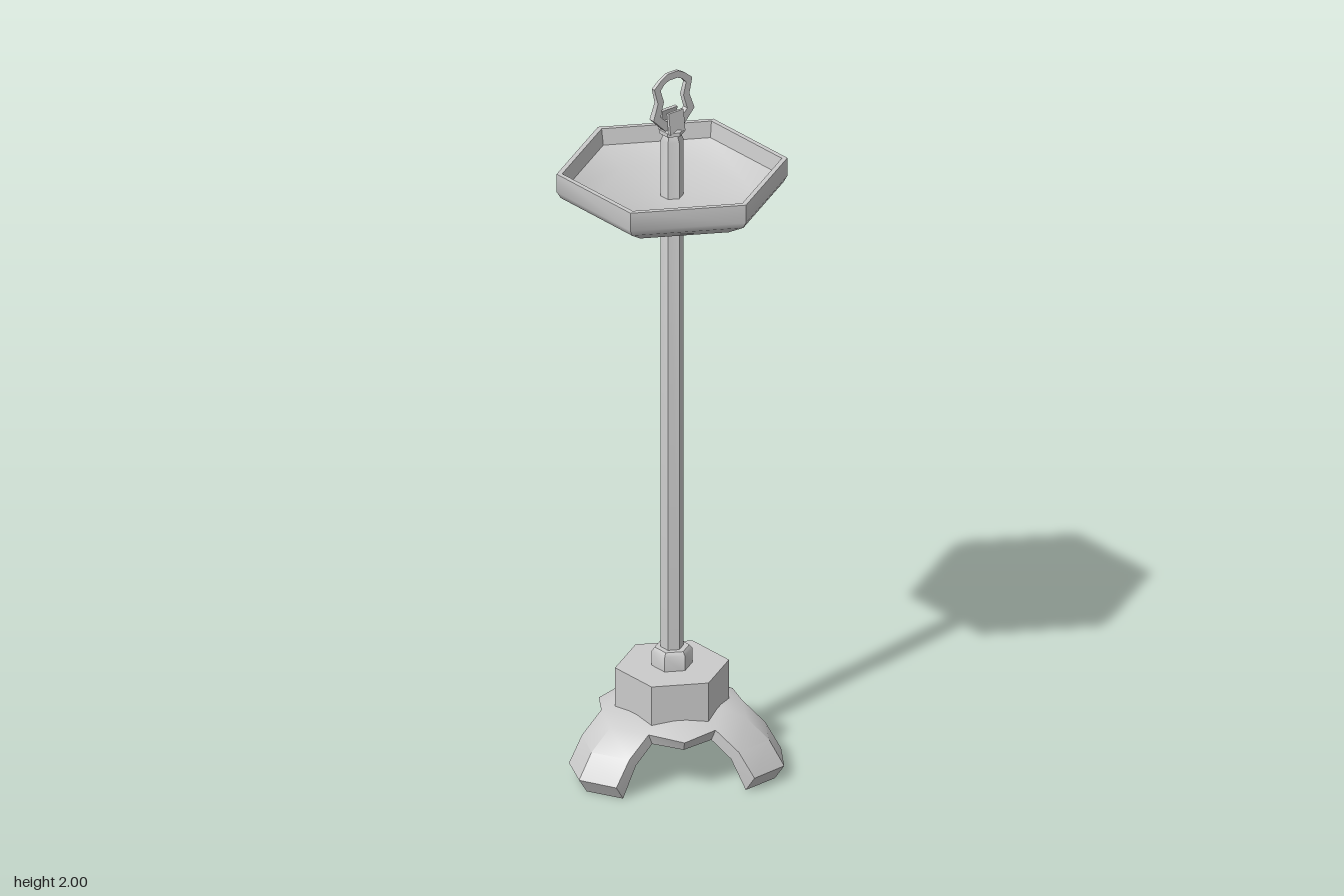
import * as THREE from 'three';
import { toCreasedNormals } from 'three/addons/utils/BufferGeometryUtils.js';

const mat = new THREE.MeshStandardMaterial({ color: 0xcccccc });

function part(name, geometry, crease = 0.8) {
  const mesh = new THREE.Mesh(toCreasedNormals(geometry, crease), mat);
  mesh.name = name;
  return mesh;
}

// Six-sided turned part with corners on the x axis; profile runs from bottom to top
function hexTurned(name, profile) {
  const pts = profile.map(([r, y]) => new THREE.Vector2(r, y));
  return part(name, new THREE.LatheGeometry(pts, 6, Math.PI / 2));
}

// Thick three-legged dome: one half-leg sector, mirrored and turned three times
function tripodGeometry() {
  const S = Math.sin(Math.PI / 3), C = 0.5, w = 0.098;
  // points as [sideways, outward, up]
  const top = {
    O: [0, 0, 0.18], R1: [0, 0.14, 0.18], R2: [0, 0.209, 0.161], R3: [0, 0.272, 0.108], R4: [0, 0.314, 0.04],
    N: [w, 0.159, 0.161], C3: [w, 0.224, 0.108], C4: [w, 0.268, 0.04],
    H: [S * 0.14, C * 0.14, 0.18], G: [S * 0.205, C * 0.205, 0.15],
  };
  const under = {
    O: [0, 0, 0.148], R1: [0, 0.135, 0.148], R2: [0, 0.197, 0.131], R3: [0, 0.248, 0.085], R4: [0, 0.288, 0],
    N: [w, 0.147, 0.131], C3: [w, 0.202, 0.085], C4: [w - 0.004, 0.242, 0],
    H: [S * 0.135, C * 0.135, 0.148], G: [S * 0.19, C * 0.19, 0.123],
  };
  const faces = ['O R1 H', 'R1 R2 N', 'R1 N H', 'H N G', 'R2 R3 C3', 'R2 C3 N', 'R3 R4 C4', 'R3 C4 C3'];
  const rim = ['R4 C4', 'C4 C3', 'C3 N', 'N G'];
  const pos = [];
  for (let leg = 0; leg < 3; leg++) {
    const a = leg * Math.PI * 2 / 3;
    for (const side of [1, -1]) {
      const tri = (p, q, r) => {
        for (const [u, v, y] of side > 0 ? [p, q, r] : [p, r, q]) {
          const x = u * side;
          pos.push(x * Math.cos(a) + v * Math.sin(a), y, v * Math.cos(a) - x * Math.sin(a));
        }
      };
      for (const f of faces) {
        const [i, j, k] = f.split(' ');
        tri(top[i], top[j], top[k]);
        tri(under[i], under[k], under[j]);
      }
      for (const e of rim) {
        const [i, j] = e.split(' ');
        tri(top[i], under[i], under[j]);
        tri(top[i], under[j], top[j]);
      }
    }
  }
  const g = new THREE.BufferGeometry();
  g.setAttribute('position', new THREE.Float32BufferAttribute(pos, 3));
  return g;
}

// Flat loop in the side plane, thinning towards the top
function loopGeometry() {
  const mirrored = (half) => [...half, ...half.map(([x, y]) => [-x, y]).reverse()]
    .map(([x, y]) => new THREE.Vector2(x, y));
  const shape = new THREE.Shape(mirrored([
    [0.03, 1.84], [0.069, 1.88], [0.053, 1.925], [0.064, 1.968], [0.04, 1.988], [0.018, 2]]));
  shape.holes.push(new THREE.Path(mirrored([
    [0.02, 1.862], [0.045, 1.885], [0.033, 1.925], [0.043, 1.96], [0.03, 1.974], [0.014, 1.981]])));
  const g = new THREE.ExtrudeGeometry(shape, { depth: 1, bevelEnabled: false });
  g.translate(0, 0, -0.5);
  const p = g.attributes.position;
  for (let i = 0; i < p.count; i++) {
    p.setZ(i, p.getZ(i) * THREE.MathUtils.mapLinear(p.getY(i), 1.84, 2, 0.02, 0.009));
  }
  g.rotateY(Math.PI / 2);
  return g;
}

export function createModel() {
  const model = new THREE.Group();
  model.name = 'trayStand';

  // Foot
  model.add(part('tripodFoot', tripodGeometry(), 0.7));
  model.add(hexTurned('baseBlock', [[0, 0.17], [0.151, 0.17], [0.151, 0.283], [0, 0.283]]));
  model.add(hexTurned('collar', [[0, 0.28], [0.054, 0.28], [0.054, 0.325], [0.046, 0.335], [0, 0.335]]));

  // Pole with a chamfered cap
  model.add(hexTurned('pole', [
    [0, 0.33], [0.03, 0.33], [0.03, 1.805], [0.023, 1.822], [0.033, 1.824], [0.033, 1.835], [0.022, 1.842], [0, 1.842]]));

  // Dished tray
  model.add(hexTurned('tray', [
    [0, 1.622], [0.235, 1.622], [0.295, 1.657], [0.306, 1.675], [0.306, 1.727],
    [0.291, 1.727], [0.284, 1.682], [0.21, 1.643], [0, 1.643]]));

  // Clevis prongs gripping the loop
  for (const s of [-1, 1]) {
    const prong = part(s > 0 ? 'leftProng' : 'rightProng', new THREE.BoxGeometry(0.009, 0.06, 0.05));
    prong.position.set(s * 0.0165, 1.861, 0);
    prong.rotation.z = s * 0.13;
    model.add(prong);
  }
  model.add(part('hangingLoop', loopGeometry()));

  // Pole axis sits slightly behind the centre
  for (const child of model.children) child.position.z -= 0.026;
  return model;
}
